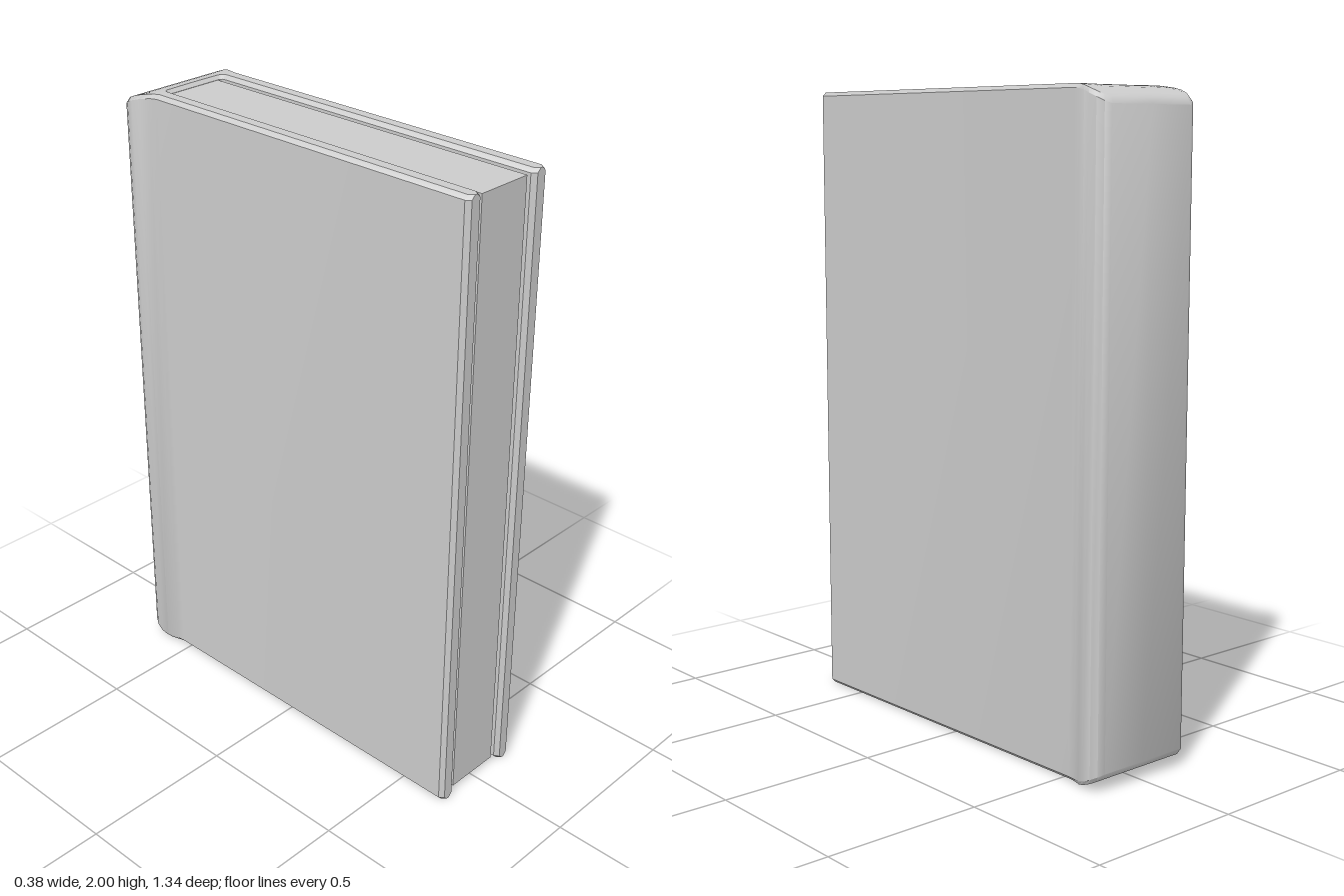
import * as THREE from 'three';
import { toCreasedNormals } from 'three/addons/utils/BufferGeometryUtils.js';

// Wrap-around cover in plan: [outer x, outer z, inner x, inner z],
// from the front edge of the left board to the middle of the spine.
const HALF = [
  [0.153, 0.667, 0.12, 0.667],
  [0.165, 0.653, 0.108, 0.653],
  [0.165, -0.53, 0.108, -0.525],
  [0.17, -0.555, 0.108, -0.53],
  [0.184, -0.59, 0.107, -0.534],
  [0.19, -0.615, 0.104, -0.537],
  [0.186, -0.64, 0.1, -0.54],
  [0.174, -0.66, 0.095, -0.541],
  [0.155, -0.67, 0.08, -0.541],
  [0, -0.67, 0, -0.541],
];

// Height of the cover's top edge, falling away over the spine
function topAt(z) {
  const t = Math.max(0, (-0.5 - z) / 0.17);
  return 2 - 0.045 * Math.pow(t, 2.6);
}

// One closed cross-section: up the outside, over the top, down the inside, back underneath
function section([ox, oz, ix, iz]) {
  const chamfer = 0.012;
  const f = chamfer / Math.hypot(ox - ix, oz - iz);
  const steps = [f, 0.25, 0.4, 0.6, 0.8, 1 - f].map((t) => Math.min(Math.max(t, f), 1 - f));
  const top = steps.map((t) => {
    const z = oz + (iz - oz) * t;
    return [ox + (ix - ox) * t, topAt(z), z];
  });
  top.unshift([ox, topAt(oz) - chamfer, oz]);
  top.push([ix, topAt(iz) - chamfer, iz]);
  const bottom = top.map(([x, y, z]) => [x, 2 - y, z]).reverse();
  return [...top, ...bottom];
}

function coverGeometry() {
  const mirrored = HALF.slice(0, -1).reverse().map(([a, b, c, d]) => [-a, b, -c, d]);
  const rings = [...HALF, ...mirrored].map(section);
  const n = rings[0].length;
  const index = [];
  for (let i = 0; i < rings.length - 1; i++) {
    for (let j = 0; j < n; j++) {
      const k = (j + 1) % n;
      const a = i * n + j, b = i * n + k, c = a + n, d = b + n;
      index.push(a, c, d, a, d, b);
    }
  }
  // Close the front edges of both boards
  const last = (rings.length - 1) * n;
  for (let j = 0; j < n / 2 - 1; j++) {
    const k = n - 1 - j;
    index.push(j, j + 1, k - 1, j, k - 1, k);
    index.push(last + j, last + k - 1, last + j + 1, last + j, last + k, last + k - 1);
  }
  const geometry = new THREE.BufferGeometry();
  geometry.setAttribute('position', new THREE.Float32BufferAttribute(rings.flat(2), 3));
  geometry.setIndex(index);
  return toCreasedNormals(geometry, 0.6);
}

export function createModel() {
  const group = new THREE.Group();
  group.name = 'book';
  const material = new THREE.MeshStandardMaterial({ color: 0xcccccc });

  const cover = new THREE.Mesh(coverGeometry(), material);
  cover.name = 'cover';
  group.add(cover);

  // Page block, set into the spine with a narrow gap beside each board
  const pages = new THREE.Mesh(new THREE.BoxGeometry(0.188, 1.972, 1.197), material);
  pages.name = 'pages';
  pages.position.set(0, 1, 0.0535);
  group.add(pages);

  return group;
}
